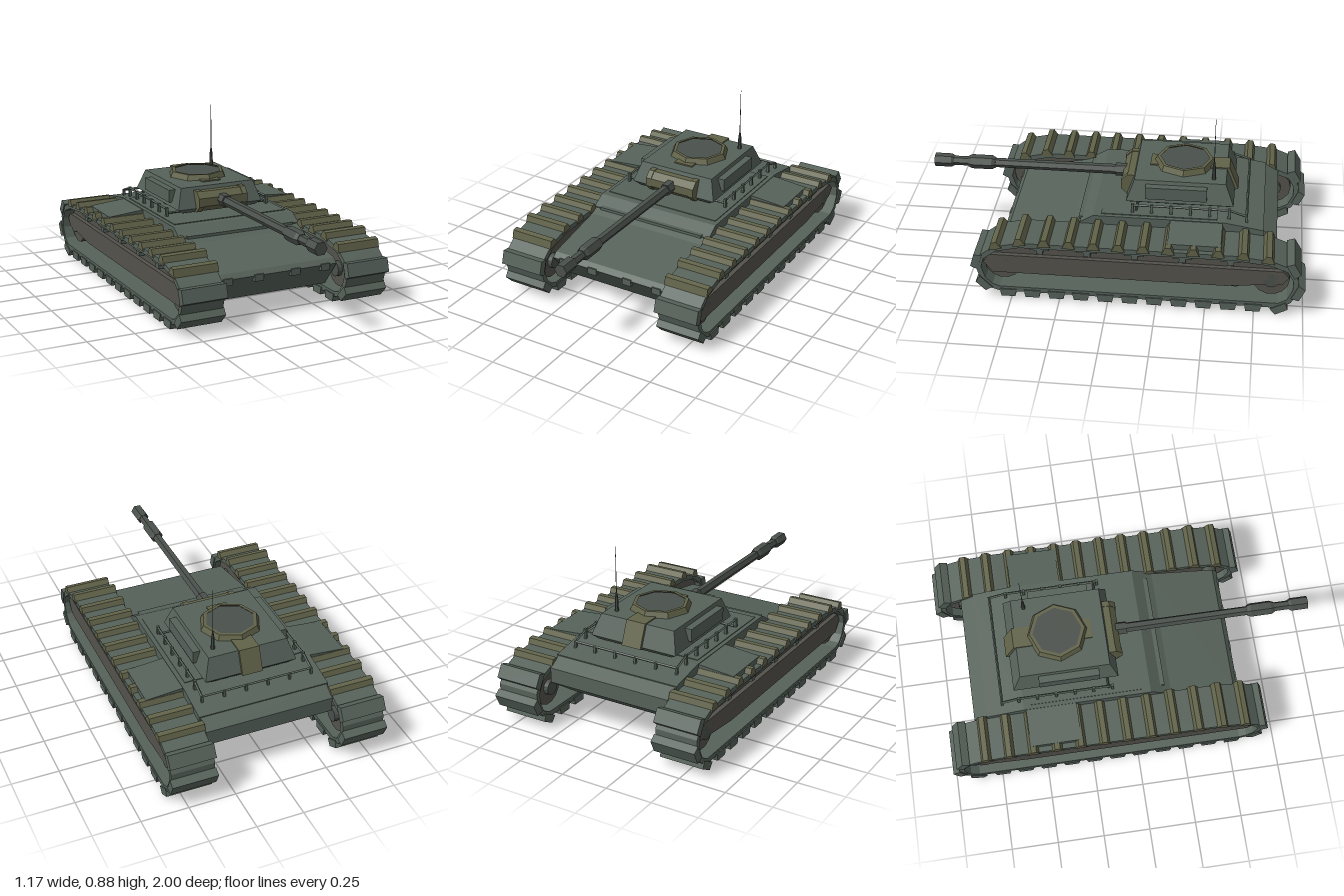
import * as THREE from 'three';

const paint = (color) => new THREE.MeshStandardMaterial({ color, flatShading: true, side: THREE.DoubleSide });

export function createModel() {
  const root = new THREE.Group();
  const green = paint(0x56625a), olive = paint(0x616349), brown = paint(0x53524c);
  const steel = paint(0x4a504b), dark = paint(0x454c47);

  const add = (name, geo, mat, x = 0, y = 0, z = 0, parent = root) => {
    const m = new THREE.Mesh(geo, mat);
    m.name = name;
    m.position.set(x, y, z);
    parent.add(m);
    return m;
  };
  // box given by its minimum and maximum corners
  const block = (name, mat, [x0, y0, z0], [x1, y1, z1], parent) =>
    add(name, new THREE.BoxGeometry(x1 - x0, y1 - y0, z1 - z0), mat,
      (x0 + x1) / 2, (y0 + y1) / 2, (z0 + z1) / 2, parent);
  // side profile of (z, y) points extruded across x, centred
  const across = (pts, width, hole) => {
    const s = new THREE.Shape(pts.map(([z, y]) => new THREE.Vector2(z, y)));
    if (hole) s.holes.push(new THREE.Path(hole.map(([z, y]) => new THREE.Vector2(z, y))));
    const g = new THREE.ExtrudeGeometry(s, { depth: width, bevelEnabled: false });
    g.translate(0, 0, -width / 2);
    return g.rotateY(-Math.PI / 2);
  };
  // straight bar between two points
  const bar = (name, mat, a, b, r, parent = root) => {
    const p = new THREE.Vector3(...a), q = new THREE.Vector3(...b);
    const m = add(name, new THREE.CylinderGeometry(r, r, p.distanceTo(q), 4), mat, 0, 0, 0, parent);
    m.position.copy(p).lerp(q, 0.5);
    m.quaternion.setFromUnitVectors(new THREE.Vector3(0, 1, 0), q.sub(p).normalize());
  };
  // stack of rectangles: [y, halfWidth, zBack, zFront]
  const stack = (levels) => {
    const pos = [], idx = [];
    levels.forEach(([y, w, b, f]) => pos.push(-w, y, f, w, y, f, w, y, b, -w, y, b));
    for (let l = 0; l < levels.length - 1; l++) {
      for (let i = 0; i < 4; i++) {
        const a = l * 4 + i, b = l * 4 + (i + 1) % 4;
        idx.push(a, b, b + 4, a, b + 4, a + 4);
      }
    }
    const t = (levels.length - 1) * 4;
    idx.push(t, t + 1, t + 2, t, t + 2, t + 3, 0, 2, 1, 0, 3, 2);
    const g = new THREE.BufferGeometry();
    g.setAttribute('position', new THREE.Float32BufferAttribute(pos, 3));
    g.setIndex(idx);
    const flat = g.toNonIndexed();
    flat.computeVertexNormals();
    return flat;
  };

  // hull
  add('hull', across([[0.47, 0.08], [0.58, 0.22], [0.555, 0.245], [0.21, 0.31], [0.16, 0.335],
    [-0.78, 0.34], [-0.85, 0.3], [-0.85, 0.22], [-0.65, 0.08]], 0.69), green);
  add('upperHull', across([[0.17, 0.3], [0.17, 0.335], [0.1, 0.378], [-0.58, 0.378],
    [-0.78, 0.345], [-0.78, 0.3]], 0.705), green);
  block('deckPlate', green, [-0.33, 0.37, -0.54], [0.33, 0.382, 0.06]);
  block('frontLedge', green, [-0.31, 0.328, 0.15], [0.31, 0.343, 0.18]);
  for (const x of [-0.28, -0.105, 0.105, 0.28]) {
    block('noseLug', green, [x - 0.026, 0.19, 0.53], [x + 0.026, 0.226, 0.582]);
  }

  // rails beside and behind the turret
  for (const s of [-1, 1]) {
    const x = 0.3 * s;
    bar('sideRail', green, [x, 0.422, -0.1], [x, 0.422, -0.6], 0.007);
    bar('rearSideRail', green, [x, 0.422, -0.6], [x, 0.392, -0.69], 0.007);
    bar('frontRailStay', green, [x, 0.394, -0.12], [0.2 * s, 0.394, -0.12], 0.006);
    for (let i = 0; i < 6; i++) {
      const z = -0.1 - i * 0.1;
      block('railPost', green, [x - 0.007, 0.37, z - 0.007], [x + 0.007, 0.43, z + 0.007]);
    }
  }
  bar('rearRail', green, [-0.3, 0.392, -0.69], [0.3, 0.392, -0.69], 0.007);
  for (let i = 0; i < 6; i++) {
    const x = -0.3 + i * 0.12;
    block('rearRailPost', green, [x - 0.006, 0.345, -0.697], [x + 0.006, 0.395, -0.685]);
  }

  // turret
  add('turretRing', new THREE.CylinderGeometry(0.205, 0.205, 0.04, 16), dark, 0, 0.385, -0.34);
  add('turret', stack([[0.392, 0.215, -0.6, -0.08], [0.415, 0.25, -0.62, -0.06],
    [0.525, 0.215, -0.575, -0.1]]), green);
  for (const s of [-1, 1]) {
    add('turretSideBox', new THREE.BoxGeometry(0.05, 0.068, 0.32), green, 0.235 * s, 0.472, -0.32);
  }
  block('roofStrip', olive, [-0.055, 0.52, -0.58], [0.055, 0.532, -0.17]);
  add('rearStrip', across([[-0.56, 0.532], [-0.588, 0.532], [-0.638, 0.41], [-0.61, 0.4]], 0.11), olive);
  const octagon = (top, bottom, h, open) =>
    new THREE.CylinderGeometry(top, bottom, h, 8, 1, open);
  add('cupola', octagon(0.148, 0.162, 0.03, true), olive, 0, 0.54, -0.35);
  const rim = new THREE.RingGeometry(0.13, 0.148, 8, 1).rotateX(-Math.PI / 2);
  add('cupolaRim', rim, olive, 0, 0.555, -0.35);
  add('cupolaHatch', octagon(0.133, 0.133, 0.022), steel, 0, 0.54, -0.35);

  // mantlet
  const roller = (name, r, w, x) => {
    const g = new THREE.CylinderGeometry(r, r, w, 8).rotateY(Math.PI / 8).rotateZ(Math.PI / 2);
    add(name, g, olive, x, 0.452, -0.08);
  };
  roller('mantlet', 0.058, 0.24, 0);
  for (const s of [-1, 1]) roller('mantletCollar', 0.062, 0.03, 0.13 * s);

  // gun: [z start, z end, radius at start, radius at end]
  const gun = new THREE.Group();
  gun.name = 'gun';
  root.add(gun);
  [[-0.1, 0.02, 0.037, 0.034], [0, 0.7, 0.027, 0.025], [0.67, 0.69, 0.028, 0.038],
    [0.69, 0.8, 0.038, 0.038], [0.8, 0.82, 0.038, 0.028], [0.8, 0.91, 0.025, 0.025],
    [0.895, 0.91, 0.027, 0.036], [0.91, 1, 0.036, 0.036]].forEach(([a, b, ra, rb]) => {
    const g = new THREE.CylinderGeometry(rb, ra, b - a, 6).rotateY(Math.PI / 6).rotateX(Math.PI / 2);
    g.rotateZ(0);
    const p = g.attributes.position;
    // keep corners pointing sideways
    if (Math.max(...Array.from({ length: p.count }, (_, i) => p.getX(i))) < Math.max(ra, rb) * 0.95) {
      g.rotateZ(Math.PI / 6);
    }
    add('barrelSection', g, steel, 0, 0.457, (a + b) / 2, gun);
  });

  // antenna
  add('antennaBase', new THREE.CylinderGeometry(0.008, 0.011, 0.075, 6), dark, 0.165, 0.56, -0.51);
  add('antennaTaper', new THREE.CylinderGeometry(0.002, 0.008, 0.04, 6), dark, 0.165, 0.617, -0.51);
  add('antennaMast', new THREE.CylinderGeometry(0.0012, 0.0025, 0.25, 5), dark, 0.165, 0.75, -0.51);

  // track loop (z, y), bottom run first, and its outward normals
  const loop = [[0.56, 0.045], [-0.87, 0.045], [-0.925, 0.075], [-0.955, 0.14], [-0.955, 0.2],
    [-0.92, 0.26], [-0.83, 0.295], [-0.65, 0.315], [0.45, 0.315], [0.58, 0.285], [0.65, 0.23],
    [0.667, 0.17], [0.645, 0.1], [0.605, 0.06]];
  const offset = (d) => loop.map(([z, y], i) => {
    const p = loop[(i + loop.length - 1) % loop.length], n = loop[(i + 1) % loop.length];
    const t = new THREE.Vector2(n[0] - p[0], n[1] - p[1]).normalize();
    return [z - t.y * d, y + t.x * d];
  });
  const path = new THREE.Path([...loop, loop[0]].map(([z, y]) => new THREE.Vector2(z, y)));
  const bandGeo = across(offset(0.014), 0.23, offset(-0.014));
  const shoeGeo = (base, tip) => across([[-base, 0], [base, 0], [tip, 0.041], [-tip, 0.041]], 0.242);
  const wideShoe = shoeGeo(0.044, 0.036), slimShoe = shoeGeo(0.034, 0.014);
  const skirt = [[0.645, 0.19], [0.61, 0.25], [0.5, 0.295], [-0.68, 0.295], [-0.87, 0.245],
    [-0.92, 0.2], [-0.89, 0.16], [-0.6, 0.13], [0.6, 0.13]];
  const lowerSkirt = [[0.645, 0.19], [0.615, 0.235], [-0.89, 0.235], [-0.92, 0.2], [-0.89, 0.16],
    [-0.6, 0.13], [0.6, 0.13]];
  const wheel = (r, w) => new THREE.CylinderGeometry(r, r, w, 14).rotateZ(Math.PI / 2);

  for (const s of [-1, 1]) {
    const side = new THREE.Group();
    side.name = s > 0 ? 'leftTrack' : 'rightTrack';
    root.add(side);
    const cx = 0.464 * s;
    add('trackBand', bandGeo, green, cx, 0, 0, side);
    const count = 28;
    for (let i = 0; i < count; i++) {
      const u = (i + 0.35) / count;
      const p = path.getPointAt(u), t = path.getTangentAt(u);
      const onTop = t.x > 0.9;
      const shoe = add('trackShoe', onTop ? slimShoe : wideShoe, onTop ? olive : green, cx, p.y, p.x, side);
      shoe.rotation.x = Math.atan2(-t.y, t.x);
    }
    // side armour, brackets and wheels inside the loop
    add('sideArmour', across(skirt, 0.15), brown, 0.455 * s, 0, 0, side);
    add('lowerSideArmour', across(lowerSkirt, 0.03), brown, 0.54 * s, 0, 0, side);
    for (let i = 0; i < 5; i++) {
      const z = 0.35 - i * 0.243;
      add('bracketTop', new THREE.BoxGeometry(0.05, 0.018, 0.1), green, 0.54 * s, 0.292, z, side);
      add('bracketStem', new THREE.BoxGeometry(0.04, 0.03, 0.035), green, 0.54 * s, 0.272, z, side);
    }
    add('frontWheel', wheel(0.098, 0.15), brown, 0.455 * s, 0.18, 0.545, side);
    add('rearWheel', wheel(0.095, 0.15), brown, 0.455 * s, 0.175, -0.83, side);
    for (const z of [0.545, -0.83]) add('wheelHub', wheel(0.04, 0.2), steel, 0.455 * s, 0.178, z, side);
    for (let i = 0; i < 8; i++) {
      add('roadWheel', wheel(0.055, 0.13), brown, 0.455 * s, 0.16, 0.37 - i * 0.145, side);
    }
    // sloped stowage box over the track
    const lid = new THREE.BoxGeometry(0.2, 0.05, 0.27), v = lid.attributes.position;
    for (let i = 0; i < v.count; i++) {
      if (v.getY(i) > 0 && v.getX(i) * s > 0) v.setY(i, 0.008);
    }
    lid.computeVertexNormals();
    add('stowageBox', lid, green, 0.45 * s, 0.35, -0.435, side);
  }
  return root;
}
